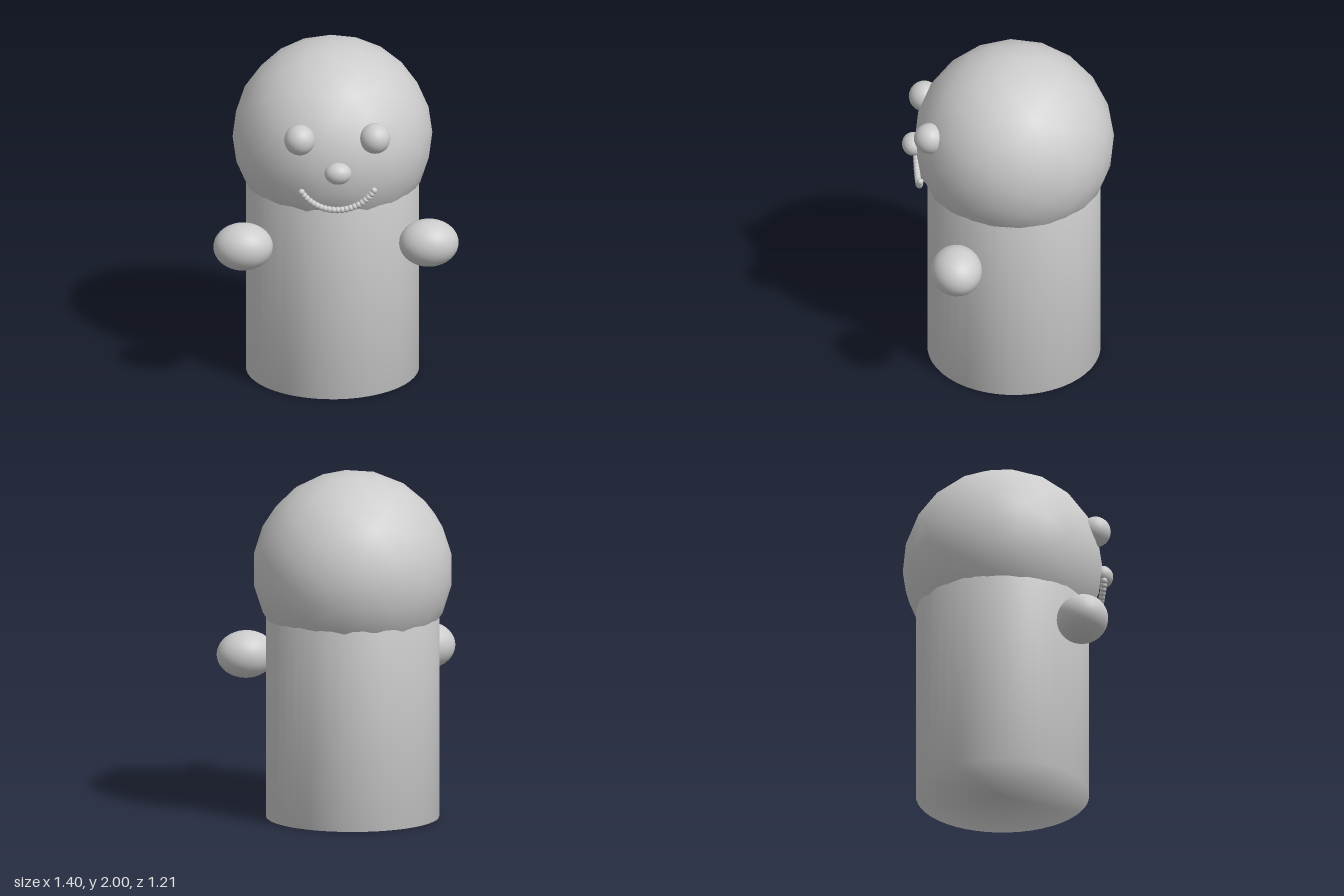
import * as THREE from 'three';
import { mergeVertices } from 'three/addons/utils/BufferGeometryUtils.js';

export function createModel() {
  const model = new THREE.Group();
  model.name = 'capsuleFigure';

  const grey = new THREE.MeshStandardMaterial({ color: 0xcccccc });
  grey.name = 'plain grey';

  const add = (name, geometry, x, y, z, parent = model) => {
    const mesh = new THREE.Mesh(geometry, grey);
    mesh.name = name;
    mesh.position.set(x, y, z);
    parent.add(mesh);
    return mesh;
  };
  const ball = new THREE.SphereGeometry(1, 32, 20);
  const ellipsoid = (name, x, y, z, rx, ry, rz) =>
    add(name, ball, x, y, z).scale.set(rx, ry, rz);

  // Body: closed cylinder with normals shared across its rims
  const bodyHeight = 1.43;
  let bodyGeometry = new THREE.CylinderGeometry(0.494, 0.494, bodyHeight, 48);
  bodyGeometry.deleteAttribute('normal');
  bodyGeometry.deleteAttribute('uv');
  bodyGeometry = mergeVertices(bodyGeometry);
  bodyGeometry.computeVertexNormals();
  add('body', bodyGeometry, 0, bodyHeight / 2, -0.035);

  // Head: icosahedron split in half twice, smooth shaded
  const half = new THREE.IcosahedronGeometry(1, 1).getAttribute('position');
  const corners = Array.from(half.array);
  const order = Array.from({ length: half.count }, (_, i) => i);
  const headGeometry = new THREE.PolyhedronGeometry(corners, order, 0.57, 1);
  headGeometry.rotateY(Math.PI / 2);
  add('head', headGeometry, 0, 1.43, -0.036);

  // Mirrored hands and eyes
  for (const [side, s] of [['left', 1], ['right', -1]]) {
    ellipsoid(side + 'Hand', s * 0.53, 0.9, 0.33, 0.17, 0.136, 0.146);
    ellipsoid(side + 'Eye', s * 0.215, 1.603, 0.463, 0.088, 0.088, 0.088);
  }

  ellipsoid('nose', 0, 1.423, 0.542, 0.077, 0.063, 0.063);

  // Smile: a row of beads along an arc
  const mouth = new THREE.Group();
  mouth.name = 'mouth';
  model.add(mouth);
  const bead = new THREE.SphereGeometry(0.019, 14, 10);
  const count = 21;
  for (let i = 0; i < count; i++) {
    const a = THREE.MathUtils.degToRad(-58 + (116 * i) / (count - 1));
    add('mouthBead', bead, 0.244 * Math.sin(a), 1.432 - 0.244 * Math.cos(a), 0.515, mouth);
  }

  return model;
}
